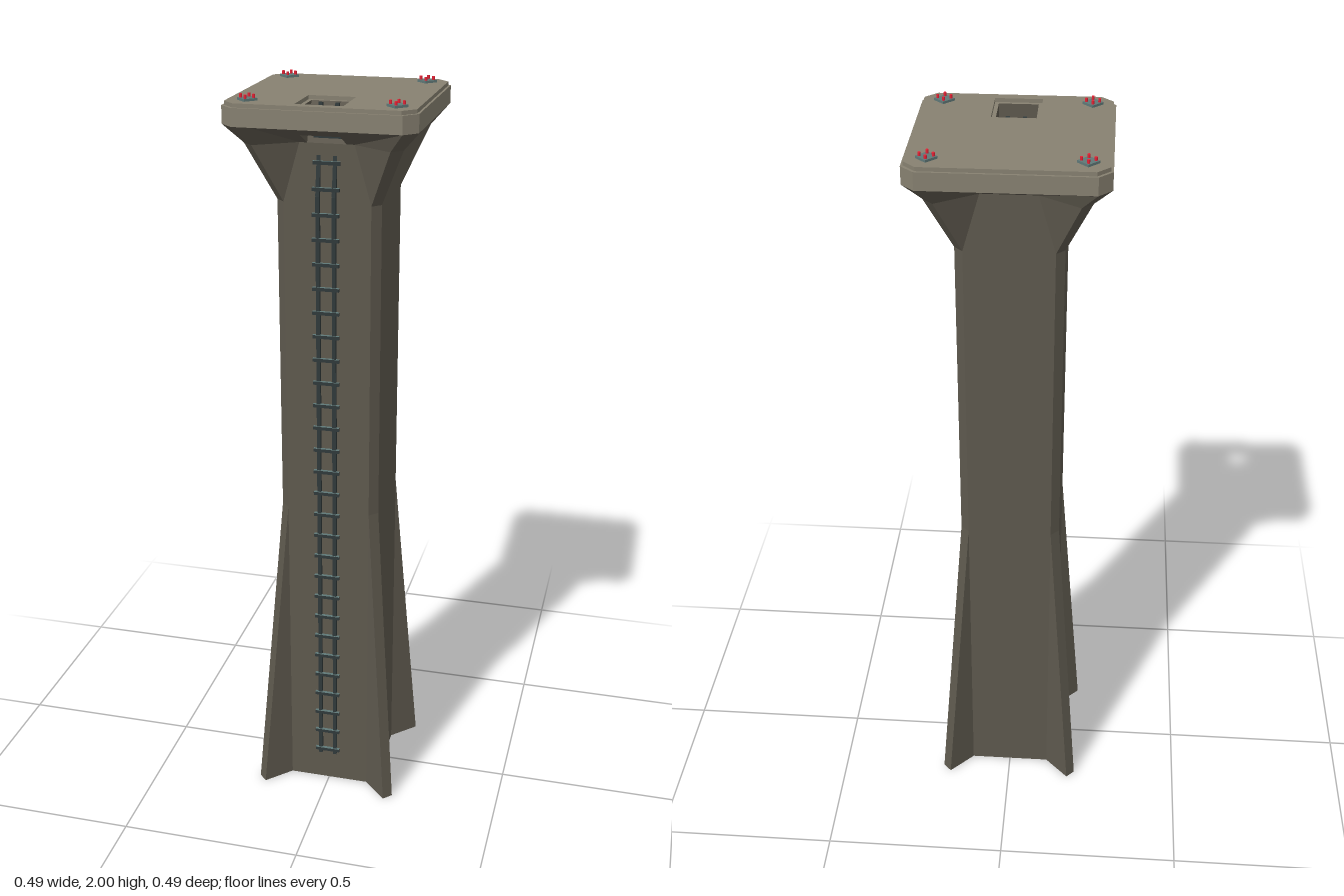
import * as THREE from 'three';

const mat = (name, color, side = THREE.FrontSide) => {
  const m = new THREE.MeshStandardMaterial({ color, side });
  m.name = name;
  return m;
};

// flat-shaded surface from a list of quads, skipping collapsed triangles
function quadSurface(quads) {
  const out = [];
  const tri = (a, b, c) => {
    const t = new THREE.Triangle(new THREE.Vector3(...a), new THREE.Vector3(...b), new THREE.Vector3(...c));
    if (t.getArea() > 1e-8) out.push(...a, ...b, ...c);
  };
  for (const [a, b, c, d] of quads) {
    tri(a, b, c);
    tri(a, c, d);
  }
  const g = new THREE.BufferGeometry();
  g.setAttribute('position', new THREE.Float32BufferAttribute(out, 3));
  g.computeVertexNormals();
  return g;
}

// quads joining each closed ring to the one above it
function loft(rings) {
  const quads = [];
  for (let i = 0; i < rings.length - 1; i++) {
    const p = rings[i], q = rings[i + 1], n = p.length;
    for (let j = 0; j < n; j++) {
      const k = (j + 1) % n;
      quads.push([p[j], p[k], q[k], q[j]]);
    }
  }
  return quads;
}

// ring: wall half-width w at distance d, corner fins reaching t with cut c
function ring(y, w, d, t, c) {
  const pts = [];
  let corner = [[w, d], [t - c, t], [t, t - c], [d, w]];
  for (let k = 0; k < 4; k++) {
    corner.forEach(([x, z]) => pts.push([x, y, z]));
    corner = corner.map(([x, z]) => [z, -x]);
  }
  return pts;
}

const holeRing = (x, zBack, zFront, yBack, yFront = yBack) =>
  [[-x, yBack, zBack], [x, yBack, zBack], [x, yFront, zFront], [-x, yFront, zFront]];

export function createModel() {
  const model = new THREE.Group();
  const concrete = mat('darkConcrete', 0x5e594e, THREE.DoubleSide);
  const deckPaint = mat('lightConcrete', 0x878171);
  const steel = mat('tealSteel', 0x5f7877);
  const dark = mat('darkSteel', 0x30393a);
  const red = mat('redLamp', 0xf02438);

  const add = (name, geo, material, parent = model) => {
    const m = new THREE.Mesh(geo, material);
    m.name = name;
    parent.add(m);
    return m;
  };

  // column with tapering foot fins and flared brackets, open below
  const column = [
    ring(0, 0.113, 0.135, 0.2, 0.022),
    ring(0.88, 0.113, 0.135, 0.135, 0.022),
    ring(1.73, 0.113, 0.135, 0.135, 0.022),
    ring(1.88, 0.07, 0.135, 0.2, 0.027),
  ];
  add('column', quadSurface(loft(column)), concrete);

  // sloped soffit; its front segment (the last) has the ladder opening
  const rimBase = ring(1.93, 0.165, 0.243, 0.243, 0.033);
  const soffit = loft([column[3], rimBase]).slice(0, -1);
  const A = [-0.07, 1.88, 0.135], B = [-0.05, 1.88, 0.135], C = [-0.05, 1.91, 0.2], D = [-0.165, 1.93, 0.243];
  const flip = ([x, y, z]) => [-x, y, z];
  soffit.push([A, B, C, D], [flip(B), flip(A), flip(D), flip(C)], [C, flip(C), flip(D), D]);
  add('soffit', quadSurface(soffit), concrete);

  // platform rim with a narrow step below the deck
  add('platformRim', quadSurface(loft([
    rimBase,
    ring(1.975, 0.165, 0.243, 0.243, 0.033),
    ring(1.975, 0.16, 0.237, 0.237, 0.031),
    ring(1.985, 0.16, 0.237, 0.237, 0.031),
  ])), deckPaint);

  // platform deck with hatch
  const e = 0.237, f = 0.206;
  const deck = new THREE.Shape([[e, f], [f, e], [-f, e], [-e, f], [-e, -f], [-f, -e], [f, -e], [e, -f]]
    .map(p => new THREE.Vector2(...p)));
  deck.holes.push(new THREE.Path([[-0.06, -0.21], [-0.06, -0.08], [0.06, -0.08], [0.06, -0.21]]
    .map(p => new THREE.Vector2(...p))));
  const deckGeo = new THREE.ShapeGeometry(deck).rotateX(-Math.PI / 2).translate(0, 1.985, 0);
  add('platformDeck', deckGeo, deckPaint);

  // hatch ledge and shaft with sloped back
  add('hatchLedge', quadSurface(loft([
    holeRing(0.05, 0.09, 0.2, 1.975),
    holeRing(0.06, 0.08, 0.21, 1.975),
    holeRing(0.06, 0.08, 0.21, 1.985),
  ])), deckPaint);
  add('hatchShaft', quadSurface(loft([
    holeRing(0.05, 0.135, 0.2, 1.88, 1.91),
    holeRing(0.05, 0.09, 0.2, 1.975),
  ])), concrete);

  // ladder: straight run, then leaning back into the hatch
  const ladder = new THREE.Group();
  ladder.name = 'ladder';
  model.add(ladder);
  const zAt = y => (y < 1.75 ? 0.147 : 0.147 - (y - 1.75) * 0.17);
  const railPoints = [0.095, 1.75, 1.975];
  for (const x of [-0.021, 0.021]) {
    for (let i = 0; i < 2; i++) {
      const y0 = railPoints[i], y1 = railPoints[i + 1];
      const dz = zAt(y1) - zAt(y0), dy = y1 - y0;
      const rail = add('ladderRail', new THREE.BoxGeometry(0.01, Math.hypot(dy, dz), 0.01), dark, ladder);
      rail.position.set(x, (y0 + y1) / 2, (zAt(y0) + zAt(y1)) / 2);
      rail.rotation.x = Math.atan2(dz, dy);
    }
  }
  // rungs: teal treads on top, dark elsewhere
  const rungGeo = new THREE.BoxGeometry(0.07, 0.009, 0.009);
  const rungMaterials = [dark, dark, steel, dark, dark, dark];
  for (let i = 0; i < 30; i++) {
    const y = 0.11 + i * 0.0638;
    add('ladderRung', rungGeo, rungMaterials, ladder).position.set(0, y, zAt(y) + 0.004);
  }

  // corner beacons: diamond pad with four red lamps
  const padGeo = new THREE.BoxGeometry(0.037, 0.006, 0.037).rotateY(Math.PI / 4);
  const lampGeo = new THREE.CylinderGeometry(0.0036, 0.0036, 0.009, 8);
  for (const x of [-0.185, 0.185]) {
    for (const z of [-0.185, 0.185]) {
      const beacon = new THREE.Group();
      beacon.name = 'cornerBeacon';
      beacon.position.set(x, 1.985, z);
      model.add(beacon);
      add('beaconPad', padGeo, steel, beacon).position.y = 0.003;
      for (let k = 0; k < 4; k++) {
        const a = k * Math.PI / 2;
        add('beaconLamp', lampGeo, red, beacon).position.set(Math.cos(a) * 0.0165, 0.0105, Math.sin(a) * 0.0165);
      }
    }
  }
  return model;
}
